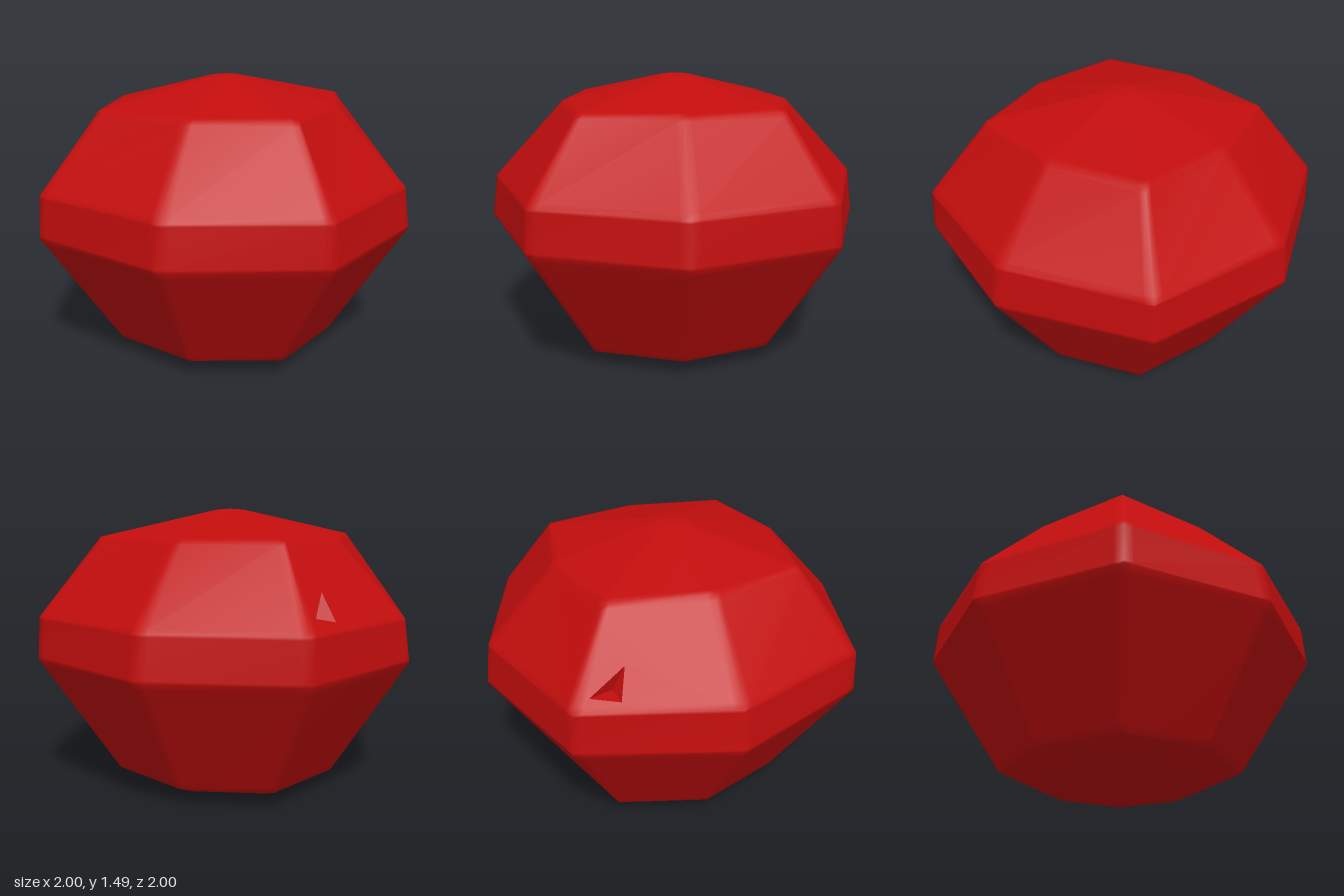
import * as THREE from 'three';
import { mergeVertices } from 'three/addons/utils/BufferGeometryUtils.js';

// Octagonal rings from base to crown: height, reach along the axes, reach of the diagonals
const RINGS = [
  [0.005, 0, 0], [0.03, 0.44, 0.32], [0.1, 0.6, 0.45], [0.73, 1, 0.74],
  [0.95, 0.97, 0.73], [1.35, 0.6, 0.5], [1.485, 0.08, 0.055], [1.49, 0, 0],
];
// Small chip in one upper facet, in facet coordinates
const CHIP = { ring: 4, side: 4, rim: [[0.92, 0.14], [0.72, 0.1], [0.73, 0.42]], pit: [0.79, 0.22], depth: 0.06 };
const LIP = 0.06; // softened edge of each facet

function corner(ring, k) {
  const [y, axis, diagonal] = RINGS[ring];
  const a = k * Math.PI / 4;
  const r = k % 2 ? diagonal * Math.SQRT2 : axis;
  return new THREE.Vector3(Math.cos(a) * r, y, Math.sin(a) * r);
}

// Point on a facet: u runs around the stone, t runs upward
function onFacet(ring, k, u, t) {
  const low = corner(ring, k).lerp(corner(ring, k + 1), u);
  const high = corner(ring + 1, k).lerp(corner(ring + 1, k + 1), u);
  return low.lerp(high, t);
}

function geometryFrom(points) {
  return new THREE.BufferGeometry().setFromPoints(points);
}

export function createModel() {
  const group = new THREE.Group();
  const red = new THREE.MeshStandardMaterial({ color: 0xc20d0d });
  red.name = 'deep red';

  // Facets: flat centres with narrow blended borders
  const steps = [0, LIP, 1 - LIP, 1];
  const points = [];
  for (let ring = 0; ring < RINGS.length - 1; ring++) {
    for (let k = 0; k < 8; k++) {
      const at = (u, t) => onFacet(ring, k, u, t);
      for (let i = 0; i < 3; i++) {
        for (let j = 0; j < 3; j++) {
          if (ring === CHIP.ring && k === CHIP.side && i === 1 && j === 1) continue;
          const [u0, u1, t0, t1] = [steps[i], steps[i + 1], steps[j], steps[j + 1]];
          points.push(at(u0, t0), at(u0, t1), at(u1, t0));
          points.push(at(u1, t0), at(u0, t1), at(u1, t1));
        }
      }
    }
  }

  // Centre of the chipped facet, with an opening for the chip
  const square = [[LIP, LIP], [1 - LIP, LIP], [1 - LIP, 1 - LIP], [LIP, 1 - LIP]];
  const toVectors = (list) => list.map(([u, t]) => new THREE.Vector2(u, t));
  const shape = new THREE.Shape(toVectors(square));
  shape.holes.push(new THREE.Path(toVectors(CHIP.rim)));
  const flat = new THREE.ShapeGeometry(shape).toNonIndexed().attributes.position;
  for (let i = 0; i < flat.count; i += 3) {
    for (const n of [i, i + 2, i + 1]) {
      points.push(onFacet(CHIP.ring, CHIP.side, flat.getX(n), flat.getY(n)));
    }
  }
  const body = mergeVertices(geometryFrom(points), 1e-4);
  body.computeVertexNormals();
  const stone = new THREE.Mesh(body, red);
  stone.name = 'stone';
  group.add(stone);

  // Walls of the chip, sloping inward to a point
  const rim = CHIP.rim.map(([u, t]) => onFacet(CHIP.ring, CHIP.side, u, t));
  const pit = onFacet(CHIP.ring, CHIP.side, ...CHIP.pit);
  const outward = rim[1].clone().sub(rim[0]).cross(rim[2].clone().sub(rim[0])).normalize();
  if (outward.dot(pit) < 0) outward.negate();
  pit.addScaledVector(outward, -CHIP.depth);
  const walls = [];
  rim.forEach((p, i) => {
    const q = rim[(i + 1) % 3];
    const normal = q.clone().sub(p).cross(pit.clone().sub(p));
    walls.push(...(normal.dot(outward) > 0 ? [p, q, pit] : [q, p, pit]));
  });
  const chipGeometry = geometryFrom(walls);
  chipGeometry.computeVertexNormals();
  const chip = new THREE.Mesh(chipGeometry, red);
  chip.name = 'chip';
  group.add(chip);

  return group;
}
